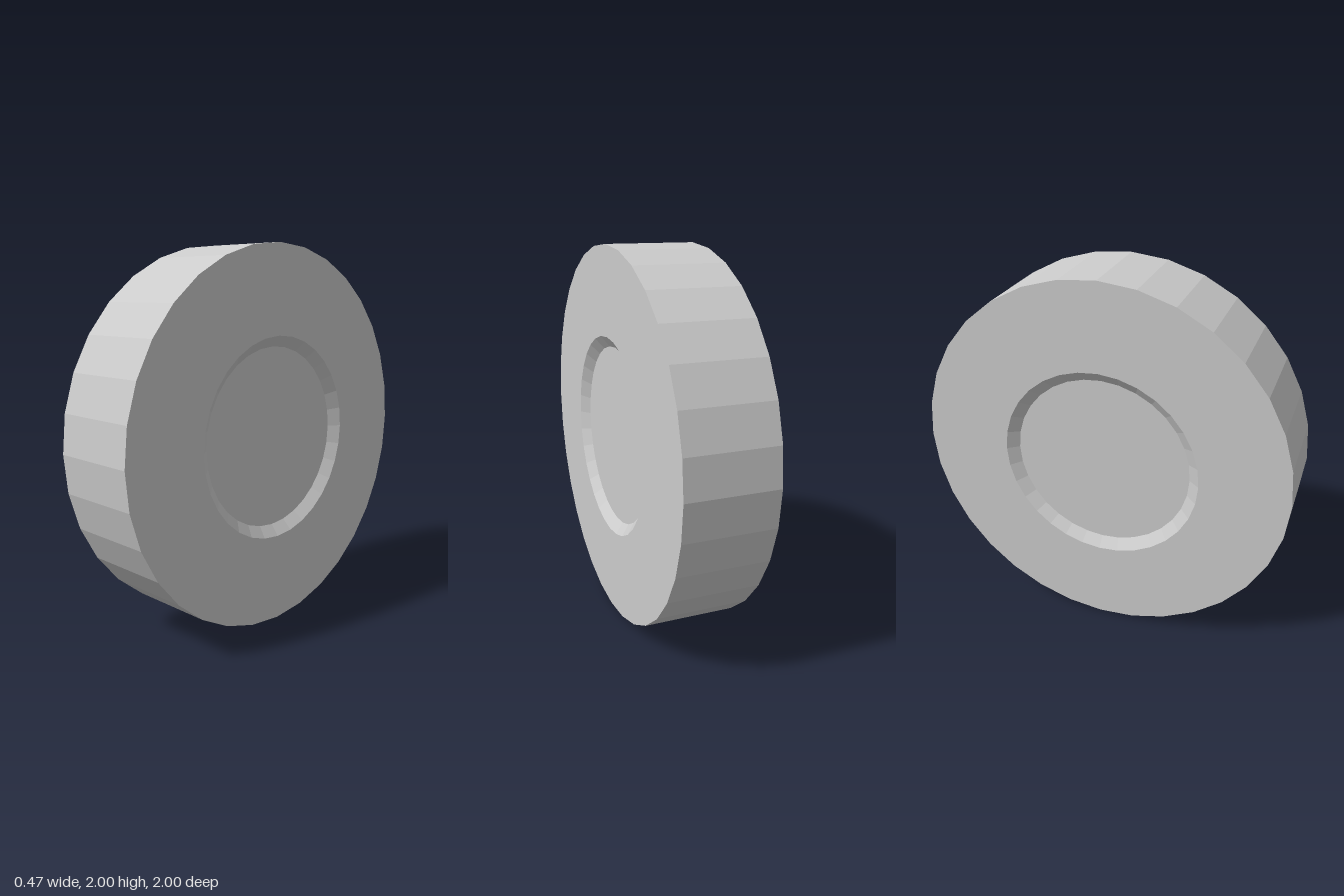
import * as THREE from 'three';

const SIDES = 32;
const HALF_WIDTH = 0.237;
const RECESS_DEPTH = 0.044;

export function createModel() {
  const group = new THREE.Group();
  group.name = 'wheel';
  const material = new THREE.MeshStandardMaterial({ color: 0xcccccc, flatShading: true });

  // One face from hub to rim: flat recess floor, sloped wall, flat outer ring
  const face = [
    [0, HALF_WIDTH - RECESS_DEPTH],
    [0.478, HALF_WIDTH - RECESS_DEPTH],
    [0.535, HALF_WIDTH],
    [1, HALF_WIDTH],
  ];

  // Full profile: lower face outwards, tread, then mirrored face back to the axis
  const profile = [
    ...face.map(([r, h]) => new THREE.Vector2(r, -h)),
    ...face.map(([r, h]) => new THREE.Vector2(r, h)).reverse(),
  ];

  // Turn the lathe axis to lie along x and stand the wheel on the ground
  const wheel = new THREE.Mesh(new THREE.LatheGeometry(profile, SIDES), material);
  wheel.name = 'wheelDisc';
  wheel.rotation.z = -Math.PI / 2;
  wheel.position.y = 1;
  group.add(wheel);
  return group;
}
